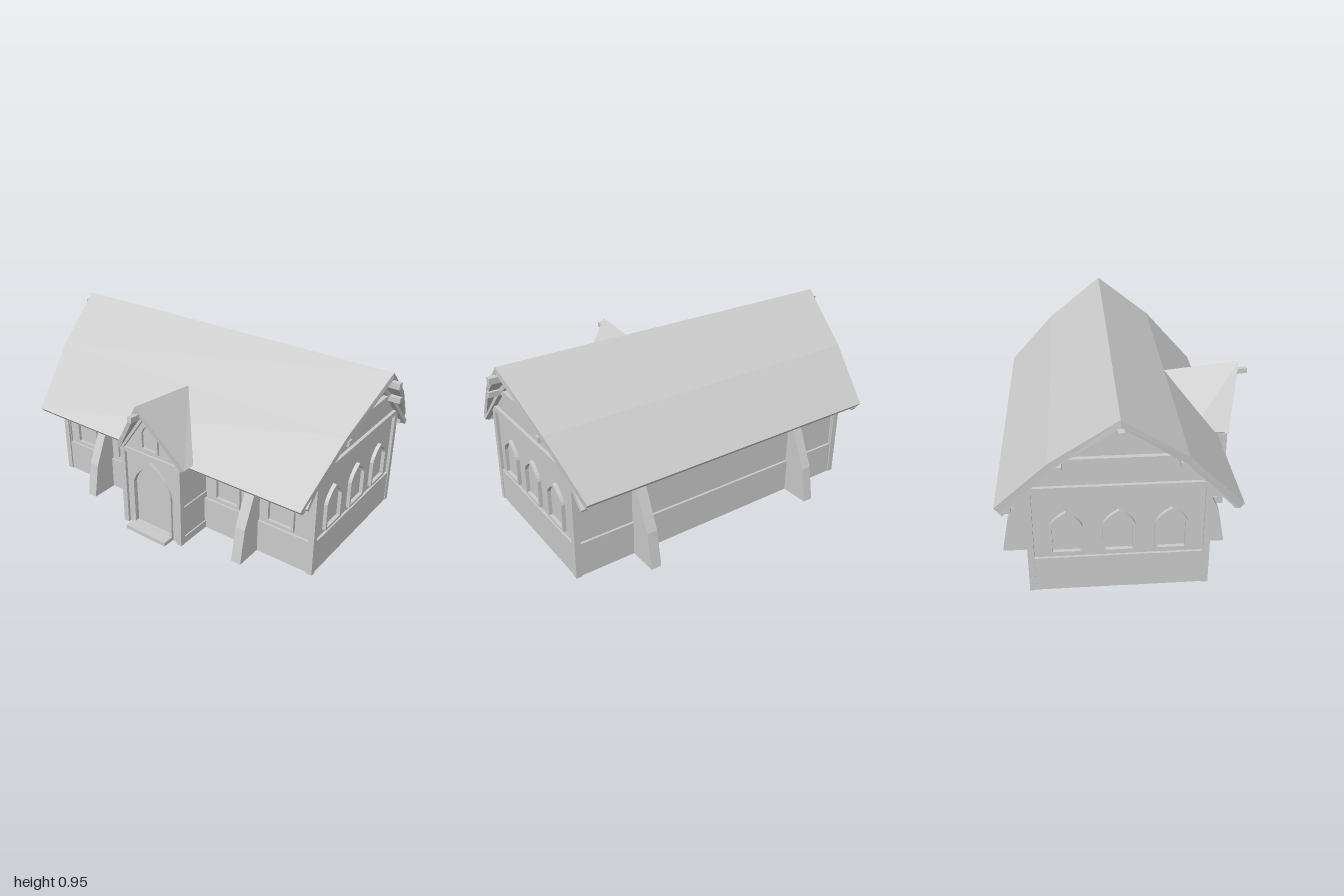
import * as THREE from 'three';

const mat = new THREE.MeshStandardMaterial({ color: 0xcccccc, flatShading: true, side: THREE.DoubleSide });

function add(parent, name, geo, x = 0, y = 0, z = 0) {
  const m = new THREE.Mesh(geo, mat);
  m.name = name;
  m.position.set(x, y, z);
  parent.add(m);
  return m;
}

// Box given by its lower and upper corner
function box(parent, name, x0, x1, y0, y1, z0, z1) {
  return add(parent, name, new THREE.BoxGeometry(x1 - x0, y1 - y0, z1 - z0),
    (x0 + x1) / 2, (y0 + y1) / 2, (z0 + z1) / 2);
}

const poly = pts => new THREE.Shape(pts.map(p => new THREE.Vector2(...p)));
const plate = (shape, depth) => new THREE.ExtrudeGeometry(shape, { depth, bevelEnabled: false, curveSegments: 6 });
const mirrored = half => [...half, ...half.filter(p => p[0] !== 0).reverse().map(([x, y]) => [-x, y])];

// Pointed arch outline standing on y = y0
function arch(w, spring, h, y0 = 0) {
  const s = new THREE.Shape();
  s.moveTo(-w / 2, y0);
  s.lineTo(w / 2, y0);
  s.lineTo(w / 2, spring);
  s.quadraticCurveTo(w * 0.42, spring + (h - spring) * 0.55, 0, h);
  s.quadraticCurveTo(-w * 0.42, spring + (h - spring) * 0.55, -w / 2, spring);
  s.lineTo(-w / 2, y0);
  return s;
}

function archFrame(parent, name, x, y, z, w, spring, h, t, depth) {
  const s = arch(w, spring, h);
  s.holes.push(arch(w - 2 * t, spring, h - t * 1.2, t));
  add(parent, name, plate(s, depth), x, y, z);
}

// Bent slab between two rows; each row lists the outer points, then the inner points backwards
function slab(a, b) {
  const n = a.length, k = n / 2, pos = [];
  const quad = (p, q, r, s) => pos.push(...p, ...q, ...r, ...p, ...r, ...s);
  for (let i = 0; i < n; i++) {
    const j = (i + 1) % n;
    quad(a[i], b[i], b[j], a[j]);
  }
  for (let i = 0; i < k - 1; i++) {
    quad(b[i], b[n - 1 - i], b[n - 2 - i], b[i + 1]);
    quad(a[i], a[i + 1], a[n - 2 - i], a[n - 1 - i]);
  }
  const g = new THREE.BufferGeometry();
  g.setAttribute('position', new THREE.Float32BufferAttribute(pos, 3));
  g.computeVertexNormals();
  return g;
}

// Main roof: flared towards the ridge, steeper below the bend
function mainRoof(parent) {
  const rows = [ // z, y, left end, right end
    [0.475, 0.445, -0.852, 0.835], [0.21, 0.73, -0.907, 0.9], [-0.09, 0.952, -0.968, 0.96],
    [-0.395, 0.725, -0.907, 0.9], [-0.64, 0.478, -0.852, 0.832],
    [-0.617, 0.452, -0.852, 0.832], [-0.38, 0.695, -0.907, 0.9], [-0.09, 0.917, -0.968, 0.96],
    [0.195, 0.7, -0.907, 0.9], [0.452, 0.42, -0.852, 0.835],
  ];
  add(parent, 'mainRoof', slab(rows.map(([z, y, l]) => [l, y, z]), rows.map(([z, y, , r]) => [r, y, z])));
  box(parent, 'ridgeBeam', -1, 1, 0.88, 0.91, -0.105, -0.075);
  for (const z of [0.185, -0.35]) box(parent, 'purlin', -0.908, 0.908, 0.678, 0.706, z - 0.014, z + 0.014);
  box(parent, 'eavePurlin', -0.85, 0.835, 0.422, 0.445, 0.43, 0.455);
  box(parent, 'eavePurlin', -0.85, 0.835, 0.445, 0.47, -0.595, -0.567);
}

// Gable end, built facing +z
function gableEnd() {
  const g = new THREE.Group();
  g.name = 'gableEnd';
  add(g, 'gableWall', plate(poly(mirrored([[0.41, 0], [0.41, 0.56], [0.3, 0.69], [0, 0.917]])), 0.02), 0, 0, -0.035);
  box(g, 'plinth', -0.39, 0.39, 0, 0.18, -0.02, -0.003);
  box(g, 'wallBeam', -0.39, 0.39, 0.535, 0.562, -0.02, 0.002);
  box(g, 'collarBeam', -0.27, 0.27, 0.68, 0.706, -0.02, 0.008);
  for (const s of [-1, 1]) {
    add(g, 'rafter', plate(poly([[0, 0.917], [s * 0.29, 0.7], [s * 0.53, 0.45],
      [s * 0.515, 0.432], [s * 0.275, 0.68], [0, 0.885]]), 0.03), 0, 0, -0.018);
  }
  for (const x of [-0.24, 0, 0.24]) archFrame(g, 'endWindow', x, 0.205, -0.018, 0.152, 0.145, 0.225, 0.013, 0.022);
  return g;
}

// Long wall, built facing +z
function longWall(windows) {
  const g = new THREE.Group();
  g.name = 'longWall';
  box(g, 'wall', -0.82, 0.82, 0, 0.56, -0.035, -0.015);
  box(g, 'plinth', -0.81, 0.81, 0, 0.18, -0.02, -0.003);
  box(g, 'wallPlate', -0.81, 0.81, 0.53, 0.56, -0.02, 0);
  for (const x of windows) archFrame(g, 'frontWindow', x, 0.2, -0.018, 0.156, 0.145, 0.222, 0.013, 0.02);
  return g;
}

function buttress(parent, x, z, dir) {
  const shape = poly([[-0.02, 0], [0.142, 0], [0.108, 0.185], [0, 0.425], [-0.02, 0.425]]);
  const m = add(parent, 'buttress', plate(shape, 0.055), x - dir * 0.0275, 0, z);
  m.rotation.y = -dir * Math.PI / 2;
  m.position.x = x + dir * 0.0275;
}

function porch() {
  const g = new THREE.Group();
  g.name = 'porch';
  const front = poly(mirrored([[0.185, 0], [0.185, 0.45], [0, 0.725]]));
  front.holes.push(arch(0.23, 0.27, 0.405, 0.02));
  add(g, 'porchFront', plate(front, 0.015), 0, 0, 0.5);
  add(g, 'door', plate(arch(0.24, 0.27, 0.41, 0.01), 0.008), 0, 0, 0.495);
  archFrame(g, 'doorFrame', 0, 0.01, 0.505, 0.262, 0.26, 0.412, 0.016, 0.022);
  archFrame(g, 'porchWindow', 0, 0.482, 0.51, 0.112, 0.095, 0.165, 0.012, 0.018);
  box(g, 'porchTie', -0.17, 0.17, 0.435, 0.46, 0.51, 0.527);
  for (const s of [-1, 1]) {
    const x = s * 0.18;
    box(g, 'porchPost', x - 0.015, x + 0.015, 0, 0.45, 0.5, 0.53);
    box(g, 'porchSide', x - 0.006, x + 0.006, 0, 0.45, 0.3, 0.51);
    for (const [y0, y1] of [[0, 0.04], [0.19, 0.22], [0.425, 0.45]])
      box(g, 'porchRail', x - 0.013, x + 0.013, y0, y1, 0.3, 0.51);
    add(g, 'porchRafter', plate(poly([[0, 0.74], [s * 0.205, 0.447], [s * 0.18, 0.447], [0, 0.7]]), 0.025), 0, 0, 0.505);
  }
  // Steep roof whose front edge leans out towards the peak
  const back = [[-0.218, 0.46, 0.33], [0, 0.73, 0.21], [0.225, 0.46, 0.33],
    [0.203, 0.445, 0.33], [0, 0.7, 0.21], [-0.197, 0.445, 0.33]];
  const lip = [[-0.218, 0.46, 0.53], [0, 0.77, 0.61], [0.225, 0.46, 0.53],
    [0.203, 0.445, 0.53], [0, 0.735, 0.605], [-0.197, 0.445, 0.53]];
  add(g, 'porchRoof', slab(back, lip));
  const beam = box(g, 'porchRidgeBeam', -0.013, 0.013, 0.69, 0.718, 0.3, 0.655);
  beam.rotation.x = -0.08;
  box(g, 'doorStep', -0.13, 0.13, 0.003, 0.025, 0.5, 0.585);
  return g;
}

export function createModel() {
  const house = new THREE.Group();
  house.name = 'house';
  mainRoof(house);

  // Gable ends
  for (const s of [-1, 1]) {
    const end = gableEnd();
    end.rotation.y = s * Math.PI / 2;
    end.position.set(s * 0.838, 0, -0.09);
    house.add(end);
  }

  // Front and back walls
  const front = longWall([-0.66, -0.348, 0.33, 0.643]);
  front.position.z = 0.325;
  const back = longWall([]);
  back.rotation.y = Math.PI;
  back.position.z = -0.505;
  house.add(front, back);

  // Corner posts and buttresses
  for (const x of [-0.823, 0.823])
    for (const z of [0.315, -0.493]) box(house, 'cornerPost', x - 0.016, x + 0.016, 0, 0.56, z - 0.015, z + 0.015);
  for (const x of [-0.502, 0.49]) {
    buttress(house, x, 0.327, 1);
    buttress(house, x, -0.512, -1);
  }

  house.add(porch());
  return house;
}
